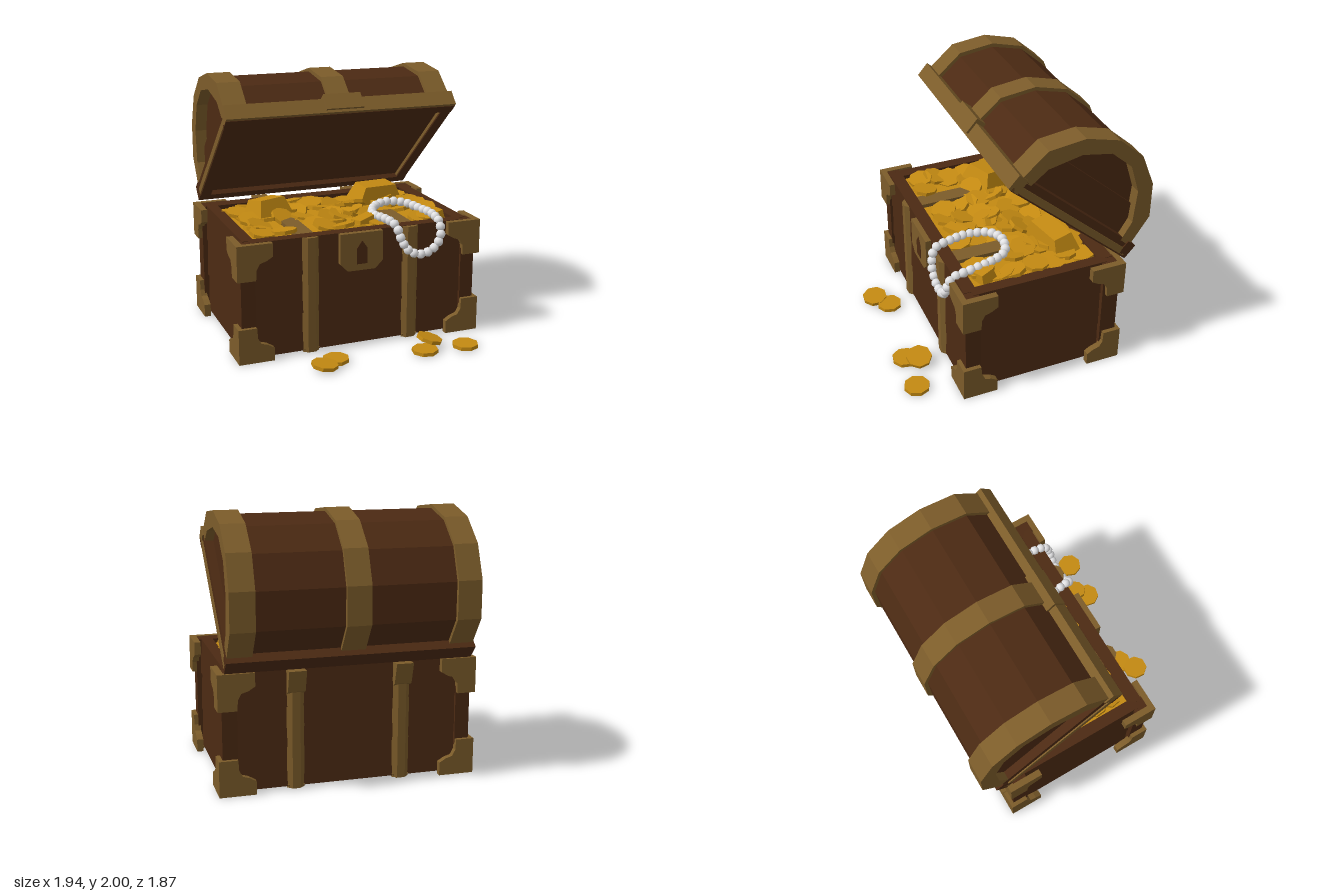
import * as THREE from 'three';

const mat = (name, color) => {
  const m = new THREE.MeshStandardMaterial({ color });
  m.name = name;
  return m;
};

export function createModel() {
  const wood = mat('brown wood', 0x4c2a13);
  const bronze = mat('bronze trim', 0x7c5c2a);
  const gold = mat('gold', 0xc48a12);
  const pearlWhite = mat('pearl', 0xe4e4e6);

  const model = new THREE.Group();
  model.name = 'treasureChest';

  let seed = 7;
  const rand = (a, b) => {
    seed = (seed * 16807) % 2147483647;
    return a + (b - a) * (seed / 2147483647);
  };
  const add = (parent, name, geo, material) => {
    const mesh = new THREE.Mesh(geo, material);
    mesh.name = name;
    parent.add(mesh);
    return mesh;
  };
  const flat = (geo) => {
    const g = geo.toNonIndexed();
    g.computeVertexNormals();
    return g;
  };
  // box given by its limits on each axis
  const box = (parent, name, material, x0, x1, y0, y1, z0, z1) => {
    const m = add(parent, name, new THREE.BoxGeometry(x1 - x0, y1 - y0, z1 - z0), material);
    m.position.set((x0 + x1) / 2, (y0 + y1) / 2, (z0 + z1) / 2);
    return m;
  };
  const extrude = (pts, depth) => new THREE.ExtrudeGeometry(
    new THREE.Shape(pts.map(([a, b]) => new THREE.Vector2(a, b))), { depth, bevelEnabled: false });
  // outline in (z, y), stretched from x0 to x1
  const prismX = (pts, x0, x1) => extrude(pts, x1 - x0).rotateY(-Math.PI / 2).translate(x1, 0, 0);

  // ---------- chest body ----------
  const body = new THREE.Group();
  body.name = 'body';
  model.add(body);
  box(body, 'floor', wood, -0.88, 0.88, 0.015, 0.1, -0.67, 0.48);
  for (let i = 0; i < 3; i++) {
    const y0 = [0.02, 0.32, 0.62][i], y1 = [0.32, 0.62, 0.9][i];
    box(body, 'frontPlank', wood, -0.85, 0.85, y0, y1, 0.4, 0.5).rotation.x = -0.03;
    box(body, 'backPlank', wood, -0.85, 0.85, y0, y1, -0.69, -0.58).rotation.x = 0.03;
    for (const s of [-1, 1]) {
      box(body, 'sidePlank', wood, s * 0.855 - 0.045, s * 0.855 + 0.045, y0, y1, -0.62, 0.44).rotation.z = s * 0.03;
    }
  }
  for (const s of [-1, 1]) {
    box(body, 'frontPost', wood, s * 0.882 - 0.055, s * 0.882 + 0.055, 0.02, 0.897, 0.4, 0.52);
    box(body, 'backPost', wood, s * 0.882 - 0.055, s * 0.882 + 0.055, 0.02, 0.897, -0.71, -0.58);
  }

  // corner brackets: an L plate on each of the two outer faces
  const L = [[0, 0], [0.27, 0], [0.27, 0.1], [0.22, 0.13], [0.17, 0.145], [0.145, 0.19], [0.14, 0.27], [0, 0.27]];
  for (const sx of [-1, 1]) for (const top of [false, true]) for (const front of [false, true]) {
    const y = (b) => (top ? 0.902 - b : b);
    const face = extrude(L.map(([a, b]) => [sx * (0.97 - a), y(b)]), 0.045);
    face.translate(0, 0, front ? 0.505 : -0.74);
    add(body, 'cornerBracketFace', face, bronze);
    const side = L.map(([a, b]) => [front ? 0.55 - a : -0.74 + a, y(b)]);
    add(body, 'cornerBracketSide', prismX(side, sx > 0 ? 0.92 : -0.97, sx > 0 ? 0.97 : -0.92), bronze);
    if (!top) {
      const foot = extrude([[sx * 0.96, front ? 0.54 : -0.73], [sx * 0.72, front ? 0.54 : -0.73],
        [sx * 0.96, front ? 0.3 : -0.49]], 0.02).rotateX(Math.PI / 2).translate(0, 0.022, 0);
      foot.computeVertexNormals();
      add(body, 'cornerFoot', foot, bronze);
    }
  }

  // straps running round front, bottom and back
  const strapProfile = [[-0.065, 0], [0.065, 0], [0.03, 0.032], [-0.03, 0.032]];
  for (const x of [-0.4, 0.4]) {
    add(body, 'strapBack', extrude(strapProfile, 0.89).rotateX(-Math.PI / 2).translate(x, 0.01, -0.69), bronze);
    add(body, 'strapFront', extrude(strapProfile, 0.89).rotateX(-Math.PI / 2).rotateY(Math.PI)
      .translate(x, 0.01, 0.5), bronze);
    add(body, 'strapBottom', extrude(strapProfile, 1.22).rotateZ(Math.PI).translate(x, 0.034, -0.705), bronze);
    box(body, 'strapInside', bronze, x - 0.065, x + 0.065, 0.86, 0.895, -0.05, 0.41);
    add(body, 'hinge', prismX([[-0.7, 0.72], [-0.7, 0.9], [-0.78, 0.9], [-0.735, 0.74]], x - 0.065, x + 0.065), bronze);
  }

  // lock plate with keyhole
  const plate = [[-0.18, 0.9], [-0.18, 0.67], [-0.12, 0.61], [0.1, 0.61], [0.16, 0.67], [0.16, 0.9]];
  add(body, 'lockPlate', extrude(plate, 0.05).translate(0, 0, 0.49), bronze);
  const hole = [[-0.05, 0.66], [0.035, 0.66], [0.035, 0.78], [-0.008, 0.84], [-0.05, 0.78]];
  add(body, 'keyhole', extrude(hole, 0.006).translate(0, 0, 0.538), wood);

  // ---------- open lid, local z runs from hinge to front edge ----------
  const lid = new THREE.Group();
  lid.name = 'lid';
  lid.position.set(0, 0.91, -0.75);
  lid.rotation.x = -0.72;
  model.add(lid);
  const half = [[0.59, 0.11], [0.555, 0.365], [0.37, 0.575], [0.13, 0.695]];
  const arch = (k, base) => {
    const h = half.map(([a, b], i) => [a * k, i ? b - (1 - k) * 0.62 : base]);
    return [...h, ...h.slice().reverse().map(([a, b]) => [-a, b])].map(([a, b]) => [a + 0.63, b]);
  };
  add(lid, 'lidShell', prismX(arch(0.96, 0.05), -0.82, 0.82), wood);
  const ring = [...arch(1, 0.1), ...arch(0.83, 0.1).reverse()];
  for (const [x0, x1] of [[-0.91, -0.73], [-0.09, 0.09], [0.73, 0.91]]) {
    add(lid, 'lidBand', prismX(ring, x0, x1), bronze);
  }
  for (const s of [-1, 1]) {
    box(lid, 'lidEndPlank', wood, s * 0.825 - 0.02, s * 0.825 + 0.02, 0.1, 0.36, 0.13, 1.13);
    box(lid, 'rimSide', wood, s * 0.87 - 0.04, s * 0.87 + 0.04, 0.06, 0.125, 0.02, 1.2);
    box(lid, 'rimSideTrim', bronze, s * 0.875 - 0.045, s * 0.875 + 0.045, 0.012, 0.065, 0.03, 1.2);
    box(lid, 'rimSideInner', wood, s * 0.873 - 0.042, s * 0.873 + 0.042, 0, 0.02, 0.02, 1.2);
  }
  box(lid, 'rimBack', wood, -0.92, 0.92, 0, 0.125, 0, 0.08);
  box(lid, 'rimFront', bronze, -0.92, 0.92, 0.004, 0.125, 1.17, 1.26);
  box(lid, 'rimFrontInner', wood, -0.92, 0.92, 0, 0.03, 1.15, 1.235);
  box(lid, 'lidLining', wood, -0.85, 0.85, 0.04, 0.1, 0.04, 1.2);
  box(lid, 'latch', bronze, -0.15, 0.15, 0.025, 0.155, 1.19, 1.278);

  // ---------- treasure ----------
  const treasure = new THREE.Group();
  treasure.name = 'treasure';
  model.add(treasure);
  box(treasure, 'goldHeap', gold, -0.82, 0.82, 0.6, 0.865, -0.59, 0.41);
  const coinGeo = flat(new THREE.CylinderGeometry(0.1, 0.1, 0.028, 8));
  const coin = (name, x, y, z, rx, ry, rz) => {
    const m = add(treasure, name, coinGeo, gold);
    m.position.set(x, y, z);
    m.rotation.set(rx, ry, rz);
    return m;
  };
  for (let i = 0; i < 10; i++) for (let j = 0; j < 7; j++) {
    const x = -0.69 + i * 0.153 + rand(-0.05, 0.05);
    const z = -0.48 + j * 0.13 + rand(-0.04, 0.04);
    if (z > 0.02 && Math.abs(Math.abs(x) - 0.4) < 0.13) continue;
    const t = z > 0.2 ? 0.22 : 0.38;
    coin('heapCoin', x, rand(0.865, 0.905), Math.min(z, 0.3), rand(-t, t), rand(0, 3), rand(-t, t));
  }
  // loose coins on the ground
  coin('groundCoin', -0.41, 0.032, 0.82, 0.08, 0.3, -0.12);
  coin('groundCoin', -0.29, 0.018, 0.73, 0, 0.1, 0);
  coin('groundCoin', 0.39, 0.018, 0.82, 0, 0.2, 0);
  coin('groundCoin', 0.47, 0.065, 0.73, 0.2, 0.5, -0.3);
  coin('groundCoin', 0.72, 0.018, 0.835, 0, 0, 0);
  // tapered gold bars lying on the heap
  const bar = (x, y, z, len, wide, rx, ry, rz) => {
    const g = new THREE.CylinderGeometry(0.5, 0.7071, 1, 4).rotateY(Math.PI / 4);
    const m = add(treasure, 'goldBar', flat(g.scale(len, 0.14, wide)), gold);
    m.position.set(x, y, z);
    m.rotation.set(rx, ry, rz);
  };
  bar(0.48, 0.95, -0.36, 0.42, 0.22, 0.12, 0.2, -0.06);
  bar(-0.5, 0.95, -0.22, 0.32, 0.24, -0.16, 0.35, 0.06);
  bar(0.12, 0.87, 0.27, 0.26, 0.13, 0, 0.5, 0.1);
  bar(0.7, 0.87, 0.28, 0.15, 0.16, 0.1, 0.4, 0.1);

  // ---------- pearl necklace draped over the front edge ----------
  const necklace = new THREE.Group();
  necklace.name = 'pearlNecklace';
  model.add(necklace);
  const path = new THREE.CatmullRomCurve3([
    [0.47, 0.68, 0.55], [0.37, 0.72, 0.55], [0.31, 0.81, 0.545], [0.28, 0.91, 0.51], [0.25, 0.935, 0.37],
    [0.22, 0.93, 0.21], [0.29, 0.95, 0.07], [0.42, 0.965, 0.02], [0.56, 0.95, 0.06], [0.62, 0.935, 0.21],
    [0.65, 0.93, 0.37], [0.645, 0.89, 0.51], [0.63, 0.79, 0.55], [0.57, 0.71, 0.55],
  ].map((p) => new THREE.Vector3(...p)), true);
  const pearlGeo = new THREE.SphereGeometry(0.037, 8, 6);
  const count = 32;
  for (let i = 0; i < count; i++) {
    const p = add(necklace, 'pearl', pearlGeo, pearlWhite);
    p.position.copy(path.getPointAt(i / count));
    p.rotation.set(rand(0, 3), rand(0, 3), 0);
  }
  return model;
}
